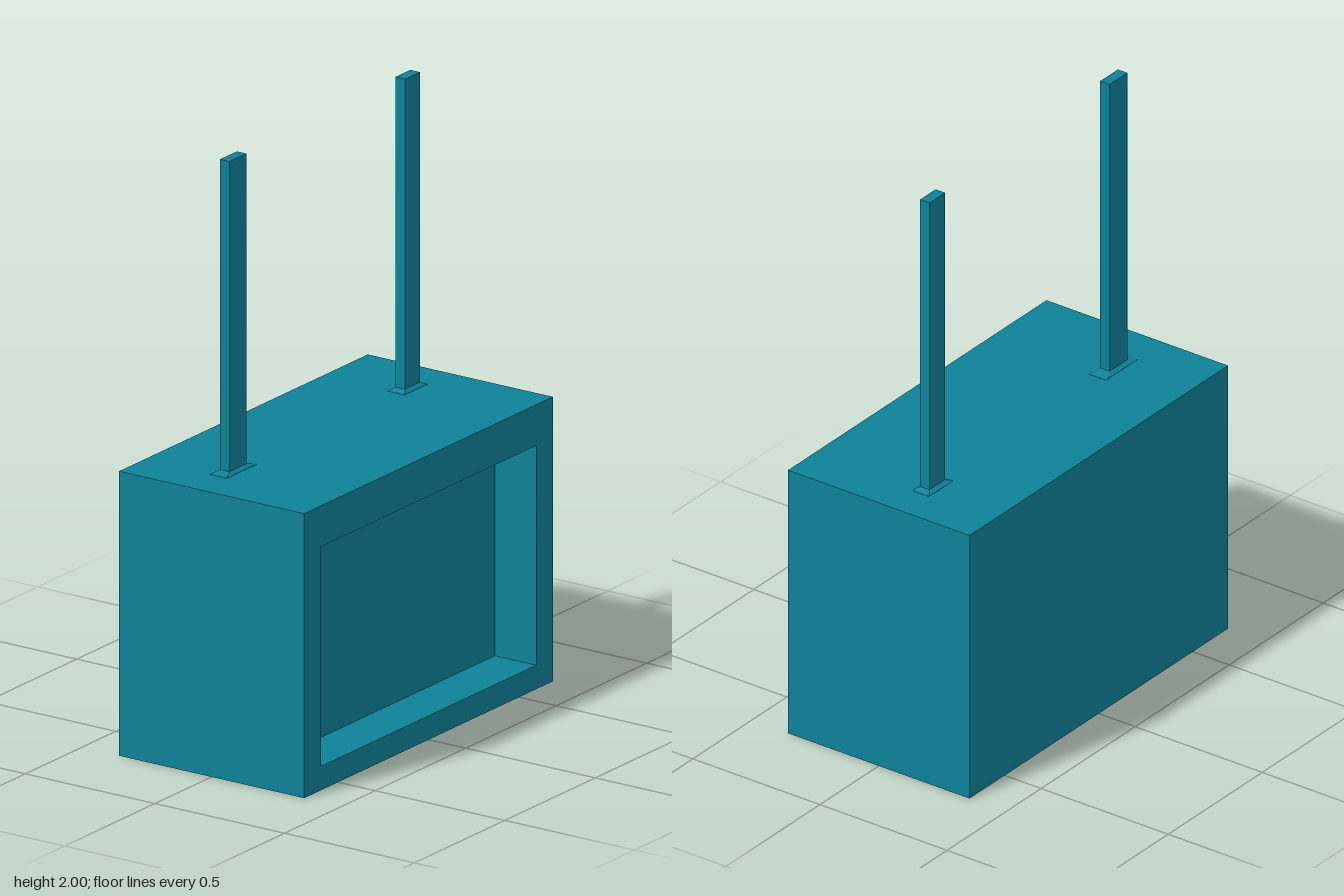
import * as THREE from 'three';

const material = new THREE.MeshStandardMaterial({ color: 0x0e8199, flatShading: true });

// Lofts rectangular sections [u0, u1, v0, v1, w] into a closed solid;
// place(u, v, w) gives the position, with u x v pointing along w.
function loft(name, sections, place) {
  const rings = sections.map(([u0, u1, v0, v1, w]) =>
    [[u0, v0], [u1, v0], [u1, v1], [u0, v1]].map(([u, v]) => place(u, v, w)));
  const positions = [];
  const quad = (a, b, c, d) => positions.push(...a, ...b, ...c, ...a, ...c, ...d);

  for (let r = 0; r < rings.length - 1; r++) {
    const a = rings[r], b = rings[r + 1];
    for (let i = 0; i < 4; i++) {
      const j = (i + 1) % 4;
      quad(a[i], a[j], b[j], b[i]);
    }
  }
  quad(...[...rings[0]].reverse());
  quad(...rings[rings.length - 1]);

  const geometry = new THREE.BufferGeometry();
  geometry.setAttribute('position', new THREE.Float32BufferAttribute(positions, 3));
  geometry.computeVertexNormals();
  const mesh = new THREE.Mesh(geometry, material);
  mesh.name = name;
  return mesh;
}

export function createModel() {
  const group = new THREE.Group();
  group.name = 'boxWithAntennas';

  // Case: outer shell, then back inwards for the recessed screen on the +x side
  const outer = [0, 0.952, -0.687, 0.687];
  const inner = [0.08, 0.815, -0.595, 0.595];
  group.add(loft('case', [
    [...outer, -0.357],
    [...outer, 0.357],
    [...inner, 0.357],
    [...inner, 0.197],
  ], (y, z, x) => [x, y, z]));

  // Antennas: low flared foot running into a flat upright bar
  const antennas = [
    { name: 'frontAntenna', foot: [0.38, 0.549], bar: [0.42, 0.514] },
    { name: 'backAntenna', foot: [-0.56, -0.432], bar: [-0.538, -0.455] },
  ];
  for (const { name, foot, bar } of antennas) {
    group.add(loft(name, [
      [...foot, -0.104, -0.038, 0.95],
      [...foot, -0.104, -0.038, 0.953],
      [...bar, -0.089, -0.052, 0.962],
      [...bar, -0.089, -0.052, 2],
    ], (z, x, y) => [x, y, z]));
  }

  return group;
}
